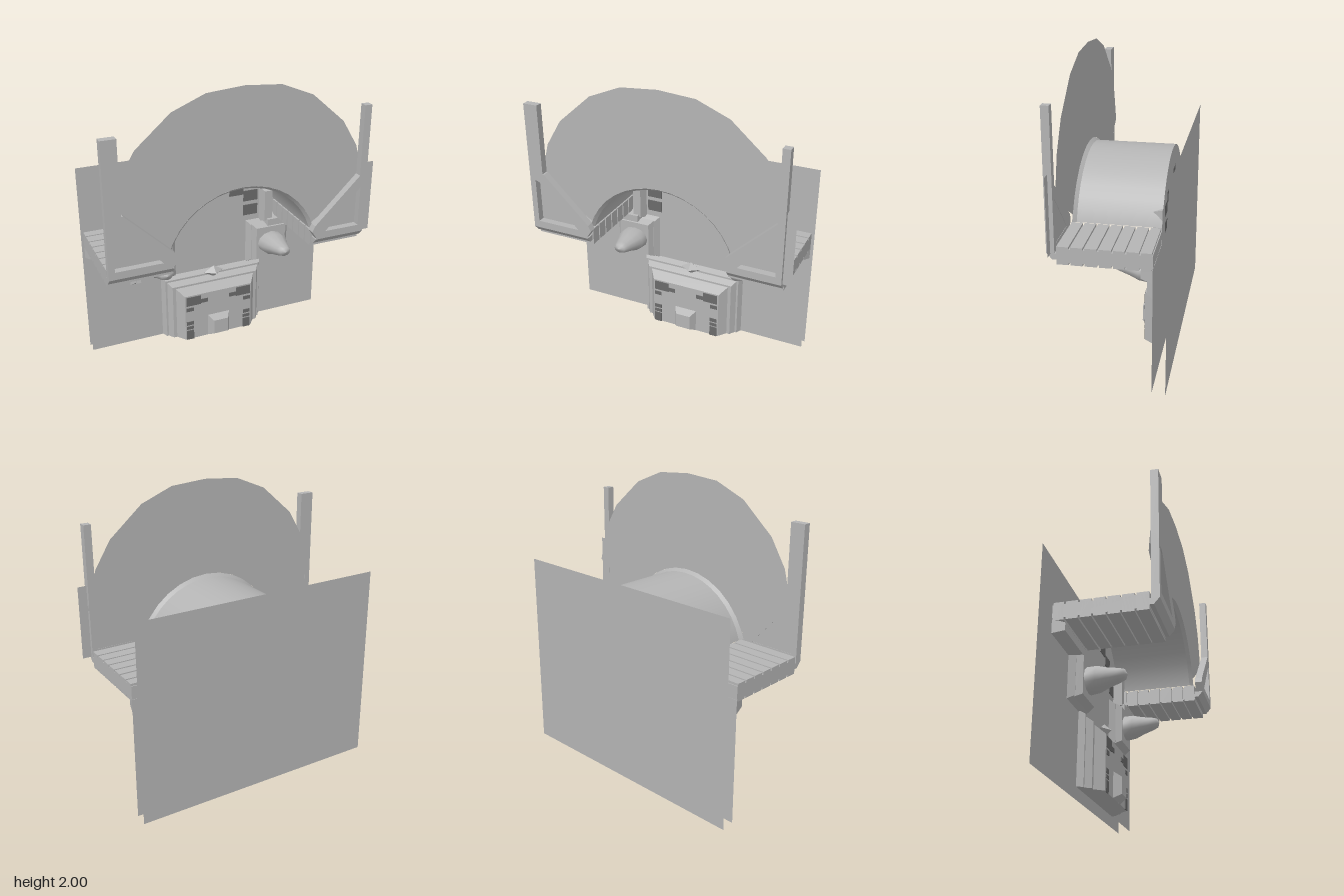
import * as THREE from 'three';

const stone = new THREE.MeshStandardMaterial({ color: 0xb4b4b4, side: THREE.DoubleSide });
stone.name = 'stone grey';
const dark = new THREE.MeshStandardMaterial({ color: 0x6a6a6a, side: THREE.DoubleSide });
dark.name = 'dark grey';

const WALL = -0.275, CY = 0.805, R = 0.52;

export function createModel() {
  const model = new THREE.Group();
  model.name = 'archedFacade';

  const add = (name, geo, mat = stone) => {
    const mesh = new THREE.Mesh(geo, mat);
    mesh.name = name;
    model.add(mesh);
    return mesh;
  };
  const box = (name, x0, x1, y0, y1, z0, z1, mat) => {
    const g = new THREE.BoxGeometry(Math.abs(x1 - x0), y1 - y0, z1 - z0);
    g.translate((x0 + x1) / 2, (y0 + y1) / 2, (z0 + z1) / 2);
    return add(name, g, mat);
  };
  // Block whose front face is inset on the sides, top and (optionally) bottom
  const bevelBlock = (name, x0, x1, y0, y1, z0, z1, inset, insetBottom = inset) => {
    const mesh = box(name, x0, x1, y0, y1, z0, z1);
    const p = mesh.geometry.attributes.position, cx = (x0 + x1) / 2, cy = (y0 + y1) / 2;
    for (let i = 0; i < p.count; i++) {
      if (p.getZ(i) < (z0 + z1) / 2) continue;
      p.setX(i, p.getX(i) + (p.getX(i) > cx ? -inset : inset));
      p.setY(i, p.getY(i) + (p.getY(i) > cy ? -inset : insetBottom));
    }
    mesh.geometry.computeVertexNormals();
    return mesh;
  };
  const shapeOf = pts => new THREE.Shape(pts.map(([x, y]) => new THREE.Vector2(x, y)));
  const sheet = (name, pts, z) => add(name, new THREE.ShapeGeometry(shapeOf(pts)).translate(0, 0, z));
  const arc = (r, half, n) => Array.from({ length: n + 1 }, (_, i) => {
    const a = half - (2 * half * i) / n;
    return [r * Math.sin(a), CY + r * Math.cos(a)];
  });

  // Back panel and front wall with the arched upper part
  sheet('backPanel', [[-0.92, 0], [0.86, 0], [0.86, 1.38], [-0.92, 1.38]], -0.36);
  sheet('frontWall', [[-0.92, 0.01], [0.86, 0.01], [0.86, 0.8], [0.496, 0.8],
    ...arc(R, 1.268, 12), [-0.496, 0.8], [-0.92, 0.8]], WALL);

  // Barrel vault with a flared front rim
  const vault = (name, rBack, rFront, z0, z1) => {
    const half = 1.268;
    add(name, new THREE.CylinderGeometry(rFront, rBack, z1 - z0, 16, 1, true, Math.PI - half, half * 2)
      .rotateX(Math.PI / 2).translate(0, CY, (z0 + z1) / 2));
  };
  vault('barrelVault', R, R, WALL, 0.265);
  vault('vaultRim', R, 0.54, 0.265, 0.29);

  // Fan shaped sheet around the mouth of the vault
  const rim = [[0.88, 1.25], [0.81, 1.51], [0.7, 1.69], [0.47, 1.89], [0.25, 1.98]];
  sheet('fanSheet', [...rim, [0, 2], ...rim.map(([x, y]) => [-x, y]).reverse(),
    ...arc(0.54, 1.18, 12).reverse()], 0.288);

  // Side ledges, flared corner frames and posts; the left side is cut shorter
  for (const s of [-1, 1]) {
    const end = s < 0 ? 0.92 : 0.86;

    // Ledge bars with narrow grooves over a thin backing
    const cuts = [WALL, -0.2, -0.115, -0.035, 0.05, 0.135, 0.22, 0.305];
    for (let i = 0; i < 7; i++) {
      box('ledgeBar', s * 0.49, s * end, 0.84, 0.955, cuts[i] + 0.006, cuts[i + 1] - 0.006);
    }
    box('ledgeCore', s * 0.5, s * end, 0.855, 0.94, WALL, 0.3);
    bevelBlock('ledgeMoulding', Math.min(s * 0.4, s * end), Math.max(s * 0.4, s * end),
      0.76, 0.85, WALL, -0.2, 0.02);

    // Triangular corner frame with a recessed panel
    const at = pts => pts.map(([x, y]) => [s * x, y]);
    const frame = shapeOf(at([[end, 0.91], [0.51, 0.91], [0.47, 0.97], [0.49, 1.01], [0.81, 1.32], [end, 1.34]]));
    frame.holes.push(new THREE.Path(at([[end - 0.04, 0.96], [0.57, 0.96], [0.83, 1.25], [end - 0.04, 1.27]])
      .map(([x, y]) => new THREE.Vector2(x, y))));
    add('cornerFrame', new THREE.ExtrudeGeometry(frame, { depth: 0.05, bevelEnabled: false }).translate(0, 0, 0.31));
    sheet('cornerPanel', at([[end, 0.91], [0.51, 0.91], [0.49, 1.0], [0.83, 1.32], [end, 1.32]]), 0.312);

    // Chamfered sill below the frame
    const sill = new THREE.ExtrudeGeometry(shapeOf([[0.3, 0.87], [0.325, 0.87], [0.36, 0.91], [0.3, 0.91]]),
      { depth: end - 0.5, bevelEnabled: false });
    sill.rotateY(-Math.PI / 2).translate(s < 0 ? -0.5 : end, 0, 0);
    add('frameSill', sill);
    box('post', s * (s < 0 ? 0.82 : 0.81), s * end, 1.3, 1.8, 0.31, 0.36);

    // Pilaster beside the opening
    bevelBlock('pilaster', s * 0.43 - 0.05, s * 0.43 + 0.05, 0.8, 1.07, WALL, -0.215, 0.02);

    // Lamp bracket with stepped back plates
    bevelBlock('bracketBase', s * 0.445 - 0.17, s * 0.445 + 0.17, 0.48, 0.82, WALL, -0.235, 0.03);
    bevelBlock('bracketPlate', s * 0.445 - 0.14, s * 0.445 + 0.14, 0.5, 0.8, -0.24, -0.195, 0.025);
    // Blunt horn pointing forward
    const horn = new THREE.LatheGeometry([[0.105, 0], [0.1, 0.07], [0.075, 0.13], [0.055, 0.2], [0.04, 0.235], [0, 0.25]]
      .map(([r, h]) => new THREE.Vector2(r, h)), 12);
    horn.rotateX(Math.PI / 2).scale(1, 0.8, 1);
    const p = horn.attributes.position;
    for (let i = 0; i < p.count; i++) p.setY(i, p.getY(i) + p.getZ(i) * 0.1);
    horn.computeVertexNormals();
    add('lampHorn', horn.translate(s * 0.445, 0.65, -0.2));

    // Dark blocks following the arch and the doorway: centre x, centre y, width, height
    for (const [x, y, w, h] of [[0.31, 0.905, 0.11, 0.08], [0.31, 1.015, 0.11, 0.08],
      [0.2, 1.068, 0.11, 0.075], [0.085, 1.125, 0.11, 0.08]]) {
      box('archInlay', s * x - w / 2, s * x + w / 2, y - h / 2, y + h / 2, WALL, WALL + 0.006, dark);
    }
    for (const [x, y, w, h] of [[0.195, 0.325, 0.11, 0.07], [0.113, 0.312, 0.055, 0.03],
      [0.224, 0.258, 0.055, 0.028], [0.224, 0.143, 0.055, 0.028], [0.224, 0.105, 0.055, 0.024],
      [0.224, 0.045, 0.055, 0.075]]) {
      box('doorInlay', s * x - w / 2, s * x + w / 2, y - h / 2, y + h / 2, -0.136, -0.13, dark);
    }
  }

  // Loose panel edge beside the shorter corner frame
  sheet('sidePanel', [[0.82, 0.905], [0.92, 0.905], [0.92, 1.4], [0.82, 1.4]], 0.335);

  // Stepped door block, knob and keystone
  bevelBlock('doorSurround', -0.39, 0.39, 0.01, 0.49, WALL, -0.235, 0.02, 0);
  bevelBlock('doorStep', -0.36, 0.36, 0.01, 0.46, -0.24, -0.195, 0.03, 0);
  bevelBlock('doorBlock', -0.31, 0.31, 0.01, 0.42, -0.2, -0.135, 0.05, 0);
  bevelBlock('doorKnob', -0.085, 0.085, 0.01, 0.18, -0.136, -0.085, 0.03);
  add('keystone', new THREE.OctahedronGeometry(1).scale(0.075, 0.045, 0.05).translate(0, 0.485, -0.225));

  return model;
}
